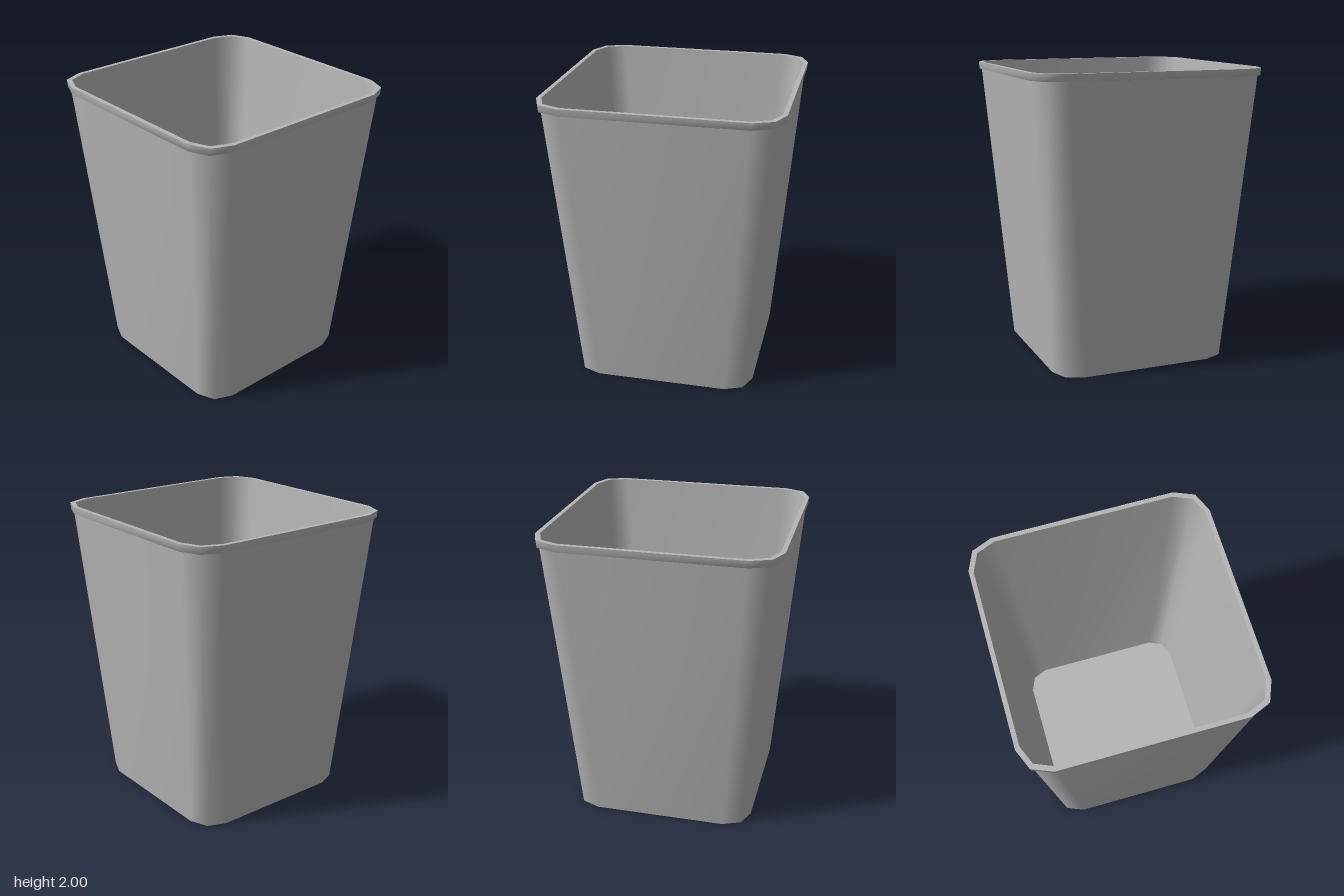
import * as THREE from 'three';

// Rounded-square ring: half width h, corner radius r, two facets per corner
function ring([h, r, y]) {
  const pts = [];
  for (let c = 0; c < 4; c++) {
    const mid = (c + 0.5) * Math.PI / 2;
    const cx = Math.SQRT2 * (h - r) * Math.cos(mid);
    const cz = -Math.SQRT2 * (h - r) * Math.sin(mid);
    for (let k = 0; k < 3; k++) {
      const a = (c + k / 2) * Math.PI / 2;
      pts.push(cx + r * Math.cos(a), y, cz - r * Math.sin(a));
    }
  }
  return pts;
}

// Smooth-shaded skin through a run of rings
function skin(sections) {
  const n = 12, index = [];
  for (let s = 0; s < sections.length - 1; s++) {
    for (let i = 0; i < n; i++) {
      const a = s * n + i, b = s * n + (i + 1) % n;
      index.push(a, b, b + n, a, b + n, a + n);
    }
  }
  const geo = new THREE.BufferGeometry();
  geo.setAttribute('position', new THREE.Float32BufferAttribute(sections.flatMap(ring), 3));
  geo.setIndex(index);
  geo.computeVertexNormals();
  return geo;
}

export function createModel() {
  const group = new THREE.Group();
  const grey = new THREE.MeshStandardMaterial({ color: 0xb5b5b5 });
  grey.name = 'grey plastic';
  const dark = new THREE.MeshStandardMaterial({ color: 0x5b5b5b });
  dark.name = 'dark base';

  const add = (name, material, ...sections) => {
    const mesh = new THREE.Mesh(skin(sections), material);
    mesh.name = name;
    group.add(mesh);
  };

  // Sections are [half width, corner radius, height]
  const foot = [0.62, 0.172, 0];
  const neck = [0.777, 0.183, 1.95];
  const rimOuter = [0.795, 0.19, 2];
  const rimInner = [0.765, 0.175, 2];
  const floorEdge = [0.585, 0.14, 0.03];

  add('underside', dark, [0, 0, 0], foot);
  add('outerWall', grey, foot, neck);
  add('lip', grey, neck, [0.791, 0.19, 1.952], rimOuter);
  add('rimTop', grey, rimOuter, rimInner);
  add('innerWall', grey, rimInner, floorEdge);
  add('innerFloor', grey, floorEdge, [0, 0, 0.03]);
  return group;
}
